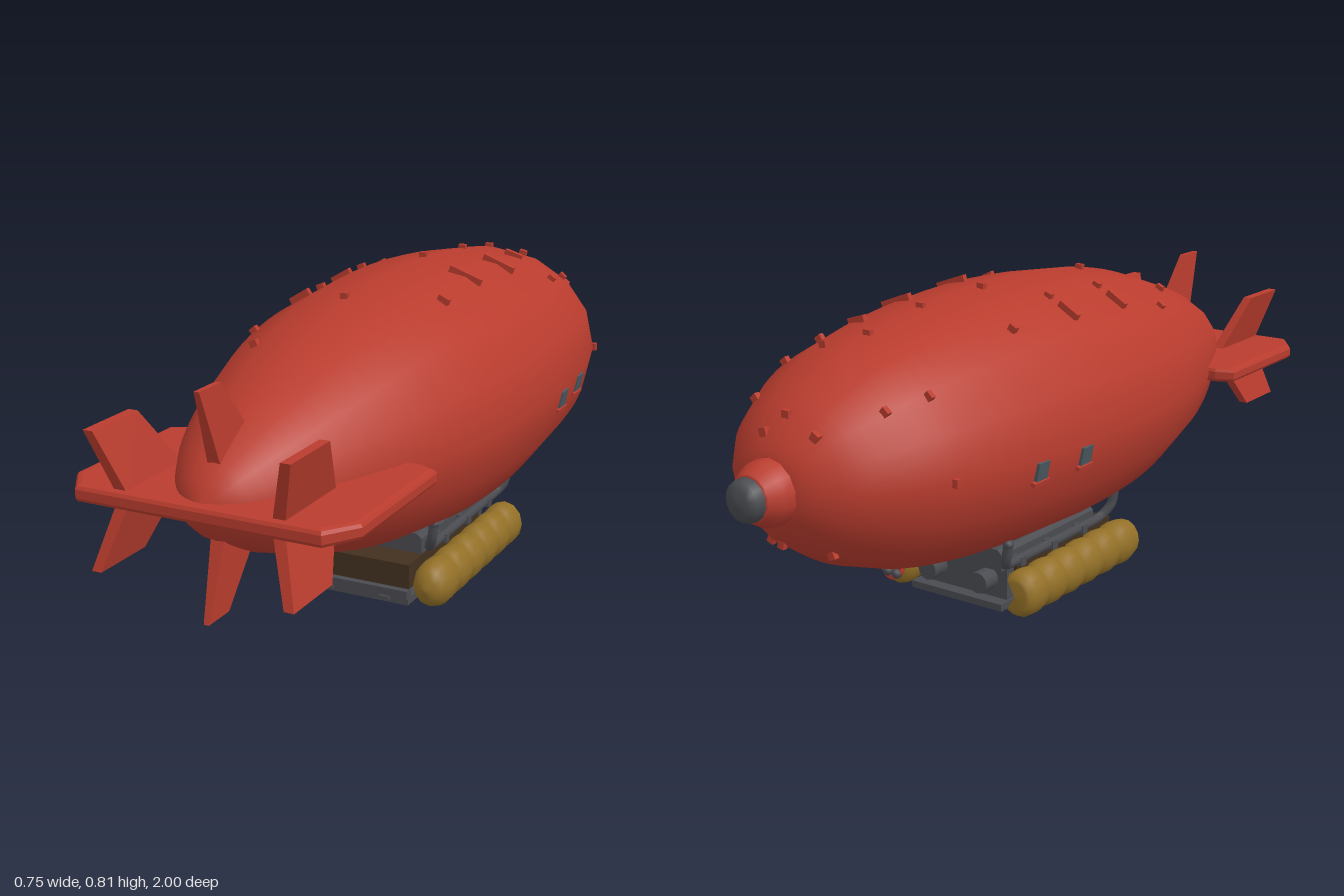
import * as THREE from 'three';

const CY = 0.484, FLAT = 0.875;   // hull axis height and vertical squash
const mat = (name, color, side = THREE.FrontSide) => {
  const m = new THREE.MeshStandardMaterial({ color, side });
  m.name = name;
  return m;
};

export function createModel() {
  const red = mat('hull red', 0xb93c2e);
  const grey = mat('iron grey', 0x4a4b50);
  const gold = mat('canvas gold', 0x937027);
  const brown = mat('dark brown', 0x42301f, THREE.DoubleSide);
  const glass = mat('window slate', 0x4b5a60);
  const model = new THREE.Group();

  const add = (name, geo, material, x = 0, y = 0, z = 0) => {
    const m = new THREE.Mesh(geo, material);
    m.name = name;
    m.position.set(x, y, z);
    model.add(m);
    return m;
  };
  const box = (name, w, h, d, material, x, y, z) =>
    add(name, new THREE.BoxGeometry(w, h, d), material, x, y, z);
  // Lathe whose axis runs along z
  const latheZ = (pts, sides, start = 0, sweep = Math.PI * 2) =>
    new THREE.LatheGeometry(pts, sides, start, sweep).rotateX(Math.PI / 2);
  const v2 = ([r, z]) => new THREE.Vector2(r, z);

  // Hull: sixteen-sided envelope, blunt nose at -z and pointed tail at +z
  const hullPts = new THREE.SplineCurve([
    [0, -0.905], [0.08, -0.9], [0.15, -0.86], [0.21, -0.8], [0.272, -0.7], [0.315, -0.58],
    [0.352, -0.38], [0.373, -0.1], [0.362, 0.18], [0.327, 0.38], [0.275, 0.55],
    [0.205, 0.72], [0.145, 0.83], [0.075, 0.92], [0, 0.96]].map(v2)).getPoints(44);
  hullPts.forEach(p => { p.x = Math.max(p.x, 0); });
  add('hull', latheZ(hullPts, 16).scale(1, FLAT, 1), red, 0, CY, 0);

  const radius = z => {
    for (let i = 1; i < hullPts.length; i++) {
      const a = hullPts[i - 1], b = hullPts[i];
      if (z <= b.y) return a.x + (b.x - a.x) * (z - a.y) / (b.y - a.y);
    }
    return 0;
  };

  // Nose boss and its dark cap
  add('noseBoss', latheZ([[0, -0.965], [0.05, -0.965], [0.055, -0.96], [0.073, -0.93],
    [0.077, -0.89], [0.08, -0.86]].map(v2), 14), red, 0, CY - 0.006, 0);
  add('noseCap', latheZ([[0, -1], [0.03, -0.997], [0.047, -0.985], [0.052, -0.955]].map(v2), 14),
    grey, 0, CY - 0.006, 0);

  // Horizontal tailplane, thinner toward its tips
  const planShape = new THREE.Shape([[-0.3, 0.54], [0.3, 0.54], [0.335, 0.555], [0.335, 0.895],
    [0.29, 0.96], [-0.29, 0.96], [-0.335, 0.895], [-0.335, 0.555]].map(([x, z]) => new THREE.Vector2(x, z)));
  const plane = new THREE.ExtrudeGeometry(planShape,
    { depth: 0.026, bevelThickness: 0.014, bevelSize: 0.015, bevelSegments: 2 });
  plane.translate(0, 0, -0.013).rotateX(Math.PI / 2);
  const pp = plane.attributes.position;
  for (let i = 0; i < pp.count; i++) pp.setY(i, pp.getY(i) * (1 - 0.8 * Math.abs(pp.getX(i))));
  plane.computeVertexNormals();
  add('tailplane', plane, red, 0, 0.481, 0);

  // Upright fins: boxes with their root and tip moved to [x, y, zFront, zBack, width]
  const fin = (name, root, tip, side, up) => {
    const g = new THREE.BoxGeometry(1, 1, 1);
    const p = g.attributes.position;
    for (let i = 0; i < p.count; i++) {
      const [x, y, z0, z1, w] = p.getY(i) * up > 0 ? tip : root;
      p.setXYZ(i, x * side + p.getX(i) * w, y * up, p.getZ(i) < 0 ? z0 : z1);
    }
    g.computeVertexNormals();
    add(name, g, red, 0, 0.481, 0);
  };
  for (const up of [1, -1]) {
    fin('centreFin', [0, 0.05, 0.71, 0.88, 0.036], [0, 0.257, 0.865, 0.945, 0.013], 1, up);
    for (const side of [1, -1])
      fin('outerFin', [0.19, 0.01, 0.74, 0.955, 0.03], [0.235, 0.158, 0.84, 1, 0.024], side, up);
  }

  // Small cleats and ridges over the envelope: [x, z, length]
  const cleat = (x, z, len, up) => {
    const r = radius(z), h = Math.sqrt(Math.max(r * r - x * x, 0));
    const m = box('cleat', len, 0.02, 0.014, red, x, CY + up * h * FLAT, z);
    m.quaternion.setFromUnitVectors(new THREE.Vector3(0, 1, 0),
      new THREE.Vector3(x, up * h / FLAT, 0).normalize());
  };
  [[-0.09, -0.85], [0, -0.84], [0.04, -0.87], [-0.18, -0.73], [0.16, -0.77], [-0.22, -0.63],
    [0.08, -0.63], [0.2, -0.63], [0, -0.57], [0.22, -0.49], [0.11, -0.48, 0.05], [0, -0.38],
    [-0.2, -0.29], [0.14, -0.3, 0.09], [-0.02, -0.17], [0.14, -0.08, 0.09], [-0.21, -0.07, 0.06],
    [-0.15, -0.07], [-0.21, 0.15, 0.06], [-0.15, 0.15], [0.17, 0.12, 0.03], [-0.02, 0.27],
    [-0.23, 0.34], [-0.14, 0.49], [-0.298, -0.64], [0.298, -0.64]]
    .forEach(([x, z, len = 0.02]) => cleat(x, z, len, 1));
  [[0.09, -0.81], [-0.09, -0.81], [0.03, -0.84]].forEach(([x, z]) => cleat(x, z, 0.018, -1));

  // Side windows with shallow red sills
  for (const side of [1, -1]) for (const z of [-0.22, -0.38]) {
    const x = side * (radius(z) - 0.006);
    const pane = box('window', 0.009, 0.045, 0.042, glass, x, 0.453, z);
    pane.rotation.z = -side * 0.2;
    const sill = box('windowSill', 0.012, 0.01, 0.06, red, x - side * 0.005, 0.424, z);
    sill.rotation.z = -side * 0.2;
  }

  // Gondola: floor, side rails, brown cabin and the keel block above
  box('gondolaFloor', 0.285, 0.018, 0.52, grey, 0, 0.022, 0);
  box('floorEdge', 0.285, 0.022, 0.025, grey, 0, 0.042, 0.255);
  box('cabin', 0.28, 0.065, 0.44, brown, 0, 0.085, 0.03);
  box('noseBulkhead', 0.27, 0.09, 0.03, grey, 0, 0.07, -0.21);
  const keel = new THREE.Shape([[-0.137, 0.115], [0.137, 0.115], [0.137, 0.158], [0.124, 0.17],
    [-0.124, 0.17], [-0.137, 0.158]].map(([x, y]) => new THREE.Vector2(x, y)));
  add('keelBlock', new THREE.ExtrudeGeometry(keel, { depth: 0.42, bevelEnabled: false }), grey, 0, 0, -0.25);
  for (const x of [-0.08, 0.08]) {
    box('floorHinge', 0.03, 0.01, 0.01, grey, x, 0.028, 0.268);
    add('engine', new THREE.CylinderGeometry(0.028, 0.028, 0.06, 12).rotateX(Math.PI / 2), grey, x, 0.08, -0.245);
  }

  // Bent pipes that hang the gondola
  for (const side of [1, -1]) {
    const path = new THREE.CatmullRomCurve3([[0.185, 0.22, 0.2], [0.178, 0.175, 0.195],
      [0.158, 0.142, 0.165], [0.155, 0.138, 0.08], [0.155, 0.138, -0.15], [0.158, 0.142, -0.255],
      [0.175, 0.165, -0.283], [0.185, 0.21, -0.288]]
      .map(([x, y, z]) => new THREE.Vector3(x * side, y, z)), false, 'catmullrom', 0.4);
    add('hangerPipe', new THREE.TubeGeometry(path, 40, 0.013, 8), grey);
    for (const [y, z] of [[0.22, 0.2], [0.21, -0.288]])
      add('pipeEnd', new THREE.SphereGeometry(0.014, 8, 6), grey, 0.185 * side, y, z);
    for (const z of [0.08, -0.06, -0.2]) box('pipeBracket', 0.04, 0.022, 0.022, grey, 0.15 * side, 0.135, z);
  }

  // Side bags: six bulging segments pinched by straps
  const bag = [[0, -0.27], [0.035, -0.268]];
  for (let i = 0; i < 6; i++)
    for (const [r, t] of [[0.047, 0], [0.057, 0.2], [0.059, 0.6], [0.055, 0.9]])
      bag.push([r, -0.265 + (i + t) * 0.084]);
  const closed = [...bag, [0.046, 0.25], [0.03, 0.268], [0, 0.274]];
  add('fullBag', latheZ(closed.map(v2), 12).scale(0.9, 1.04, 1), gold, 0.194, 0.067, 0);

  // The other bag is an open shell with a dark lining
  const open = [...bag, [0.05, 0.25]], start = Math.PI * 0.8, sweep = Math.PI * 1.4;
  add('openBag', latheZ(open.map(v2), 10, start, sweep).scale(0.9, 1.04, 1), gold, -0.19, 0.067, 0);
  add('bagLining', latheZ(open.map(([r, z]) => v2([r * 0.88, z * 0.985])), 10, start, sweep)
    .scale(0.9, 1.04, 1), brown, -0.19, 0.067, 0);

  // Fittings on the nose end of the full bag
  add('bagPlug', new THREE.CylinderGeometry(0.034, 0.034, 0.016, 10).rotateX(Math.PI / 2), red, 0.194, 0.062, -0.275);
  for (const [x, y] of [[0.185, 0.075], [0.205, 0.052], [0.175, 0.05]])
    add('bagValve', new THREE.SphereGeometry(0.014, 8, 6), grey, x, y, -0.283);

  return model;
}
